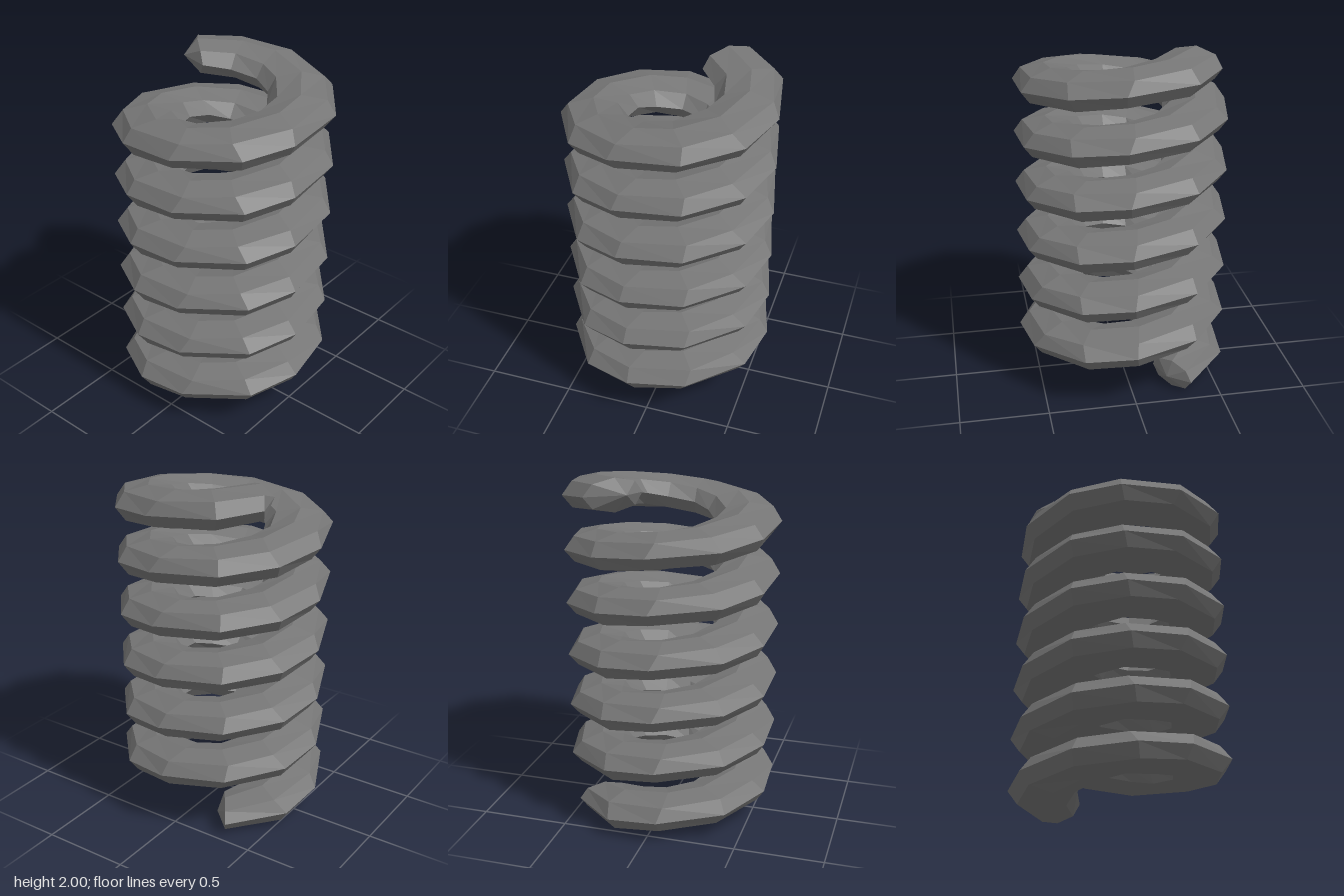
import * as THREE from 'three';

const SIDES = 8, SEGMENTS = 67;
const COIL_RADIUS = 0.422, HALF_WIDTH = 0.185, HALF_HEIGHT = 0.102;
const PITCH = 0.3, BASE_Y = 0.132;
const START = THREE.MathUtils.degToRad(-55);
const END = THREE.MathUtils.degToRad(6 * 360 - 29);

// Point on the wire: t turns along the helix, u around the oval section
function helixPoint(t, u, size, slant = 0) {
  const r = COIL_RADIUS + HALF_WIDTH * size * Math.cos(u);
  const y = BASE_Y + PITCH * t / (Math.PI * 2) + HALF_HEIGHT * size * Math.sin(u);
  return [-r * Math.cos(t + slant), y, r * Math.sin(t + slant)];
}

// Section corner, slightly uneven like hand-cut facets, narrower at both ends
function wirePoint(i, j) {
  const t = START + (END - START) * i / SEGMENTS;
  const u = j / SIDES * Math.PI * 2;
  if (i === 0) return helixPoint(t, u, 0.81);
  if (i === SEGMENTS) return helixPoint(t, u, 0.9, -0.12 * Math.cos(u));
  const uneven = Math.sin(i * 2.3 + j * 1.7);
  return helixPoint(t, u, 1 + 0.035 * uneven, 0.05 * uneven);
}

function coilGeometry() {
  const positions = [], index = [];
  for (let i = 0; i <= SEGMENTS; i++)
    for (let j = 0; j < SIDES; j++) positions.push(...wirePoint(i, j));

  // Blunt points closing the two ends
  const last = SEGMENTS * SIDES;
  const lowerTip = last + SIDES, upperTip = lowerTip + 1;
  positions.push(...helixPoint(START - 0.1, 0, 0), ...helixPoint(END + 0.2, 0, 0));

  for (let j = 0; j < SIDES; j++) {
    const k = (j + 1) % SIDES;
    // Skin between neighbouring sections
    for (let i = 0; i < SEGMENTS; i++) {
      const a = i * SIDES + j, b = i * SIDES + k;
      const c = a + SIDES, d = b + SIDES;
      index.push(a, c, b, b, c, d);
    }
    index.push(lowerTip, j, k);
    index.push(upperTip, last + k, last + j);
  }

  const geometry = new THREE.BufferGeometry();
  geometry.setAttribute('position', new THREE.Float32BufferAttribute(positions, 3));
  geometry.setIndex(index);
  const faceted = geometry.toNonIndexed();
  faceted.computeVertexNormals();
  return faceted;
}

export function createModel() {
  const group = new THREE.Group();
  group.name = 'spring';
  const material = new THREE.MeshStandardMaterial({ color: 0x767676, flatShading: true });
  const coil = new THREE.Mesh(coilGeometry(), material);
  coil.name = 'springCoil';
  group.add(coil);
  return group;
}
